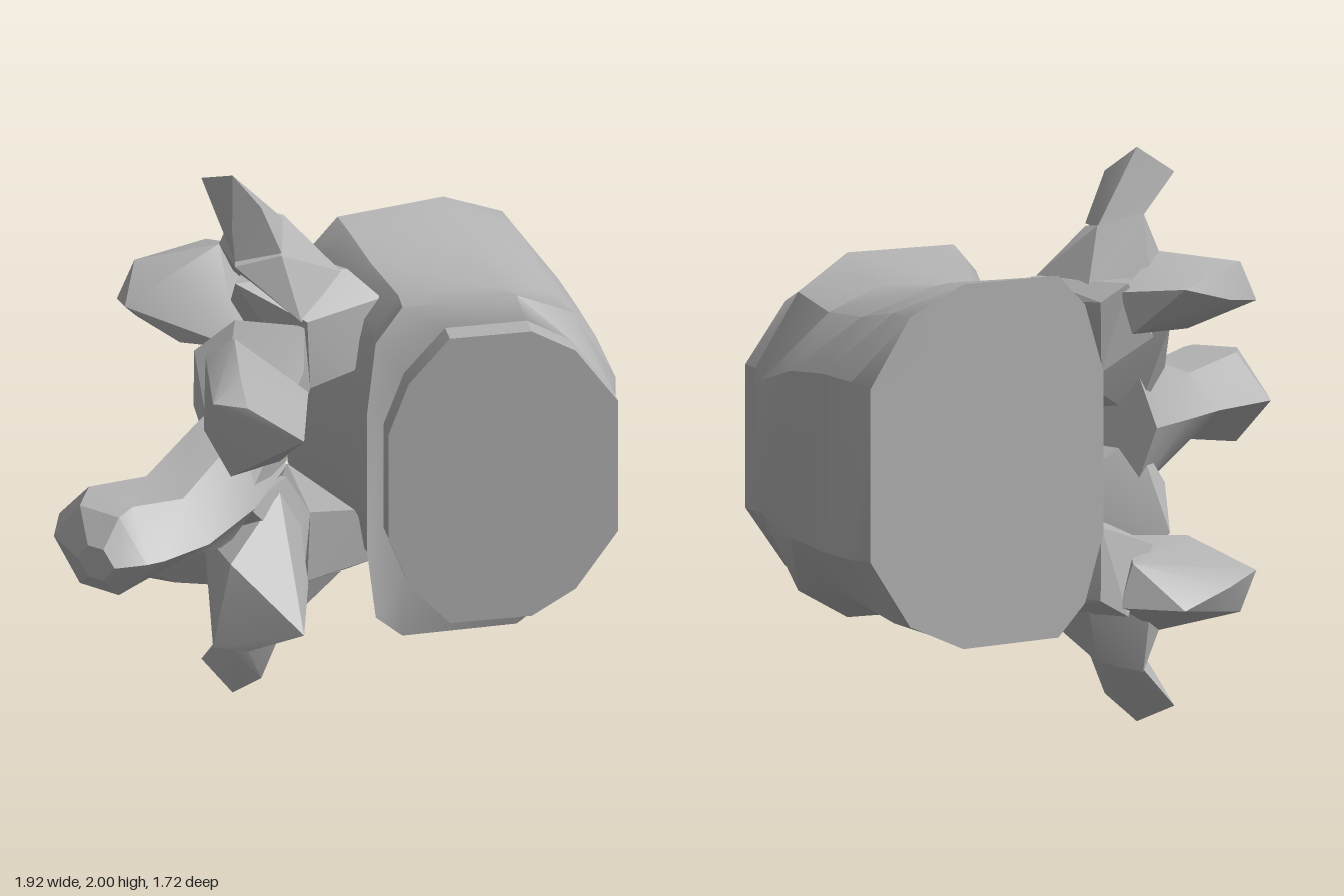
import * as THREE from 'three';
import { toCreasedNormals } from 'three/addons/utils/BufferGeometryUtils.js';
import { ConvexGeometry } from 'three/addons/geometries/ConvexGeometry.js';

const MID = 1; // height of the mirror plane

// Full ring from an upper half profile of [x, height above the mirror plane, z]
function ring(half) {
  const upper = half.map(([x, h, z]) => [x, MID + h, z]);
  const lower = half.filter((p) => p[1] > 0).reverse().map(([x, h, z]) => [x, MID - h, z]);
  return [...upper, ...lower];
}

// Closed loft through rings of equal length, capped with fans
function loft(rings, crease) {
  const n = rings[0].length;
  const centre = (r) => [0, 1, 2].map((k) => r.reduce((s, p) => s + p[k], 0) / n);
  const tris = [];
  const first = rings[0], last = rings[rings.length - 1];
  const c0 = centre(first), c1 = centre(last);
  for (let i = 0; i < n; i++) {
    const j = (i + 1) % n;
    tris.push([c0, first[j], first[i]], [c1, last[i], last[j]]);
    for (let r = 0; r < rings.length - 1; r++) {
      const a = rings[r], b = rings[r + 1];
      tris.push([a[i], a[j], b[j]], [a[i], b[j], b[i]]);
    }
  }
  // Signed volume tells whether the faces point outwards
  const volume = tris.reduce((s, [a, b, c]) => s
    + a[0] * (b[1] * c[2] - b[2] * c[1])
    + a[1] * (b[2] * c[0] - b[0] * c[2])
    + a[2] * (b[0] * c[1] - b[1] * c[0]), 0);
  if (volume < 0) tris.forEach((t) => t.reverse());
  const g = new THREE.BufferGeometry();
  g.setAttribute('position', new THREE.Float32BufferAttribute(tris.flat(2), 3));
  return toCreasedNormals(g, crease);
}

export function createModel() {
  const group = new THREE.Group();
  const bone = new THREE.MeshStandardMaterial({ color: 0xb2b2b2 });
  bone.name = 'bone grey';

  const add = (name, geometry) => {
    const mesh = new THREE.Mesh(geometry, bone);
    mesh.name = name;
    group.add(mesh);
  };

  // Convex bony piece, above and mirrored below the middle
  const addPair = (name, points) => {
    for (const side of [1, -1]) {
      const pts = points.map(([x, h, z]) => new THREE.Vector3(x, MID + side * h, z));
      add((side > 0 ? 'upper ' : 'lower ') + name, toCreasedNormals(new ConvexGeometry(pts), 0.45));
    }
  };

  // Disc outline, lying on a slanted plane
  const discOutline = [[0.17, 0.2], [0.24, 0.39], [0.38, 0.55], [0.66, 0.55], [0.81, 0.46], [0.955, 0.25]];
  const discRing = (dx, z0) => ring(discOutline.map(([x, h]) => [x + dx, h, z0 - 0.22 * x]));

  // Spool-shaped body, from back rim to front plate
  add('body', loft([
    ring([[-0.19, 0.28, -0.5], [-0.12, 0.52, -0.53], [-0.02, 0.63, -0.57],
      [0.34, 0.635, -0.72], [0.54, 0.54, -0.8], [0.69, 0.3, -0.855]]),
    ring([[-0.15, 0.27, -0.45], [-0.08, 0.5, -0.47], [0.02, 0.61, -0.5],
      [0.37, 0.625, -0.62], [0.58, 0.54, -0.7], [0.735, 0.31, -0.74]]),
    ring([[-0.04, 0.25, -0.3], [0.02, 0.45, -0.33], [0.1, 0.56, -0.36],
      [0.45, 0.575, -0.45], [0.66, 0.5, -0.53], [0.8, 0.31, -0.55]]),
    ring([[0.09, 0.24, -0.03], [0.12, 0.44, -0.07], [0.2, 0.54, -0.16],
      [0.53, 0.555, -0.2], [0.73, 0.48, -0.29], [0.875, 0.29, -0.35]]),
    ring([[0.1, 0.26, 0.2], [0.13, 0.53, 0.18], [0.22, 0.635, 0.11],
      [0.61, 0.635, 0.01], [0.8, 0.52, -0.09], [0.945, 0.23, -0.17]]),
    discRing(-0.015, 0.18),
  ], 0.6));

  // Thin disc on the front plate
  add('disc', loft([discRing(-0.015, 0.175), discRing(0.005, 0.26)], 0.5));

  // Pedicles join the body to the arch
  addPair('pedicle', [
    [0.05, 0.27, -0.12], [0.02, 0.58, -0.28], [0.14, 0.5, -0.22], [-0.18, 0.52, -0.5],
    [-0.19, 0.27, -0.46], [-0.1, 0.24, -0.04], [-0.11, 0.5, -0.03], [-0.36, 0.6, -0.12],
    [-0.4, 0.36, -0.3], [-0.28, 0.58, -0.48],
  ]);

  // Long horns ending in a slanted tip
  addPair('horn base', [
    [0, 0.58, -0.26], [-0.1, 0.65, -0.2], [-0.2, 0.76, -0.33], [-0.36, 0.8, -0.33],
    [-0.42, 0.66, -0.3], [-0.36, 0.68, -0.09], [-0.2, 0.72, -0.1], [-0.13, 0.5, -0.03],
    [-0.38, 0.5, -0.4], [-0.15, 0.55, -0.42],
  ]);
  addPair('horn tip', [
    [-0.37, 1, -0.155], [-0.48, 0.93, -0.27], [-0.37, 0.81, -0.1], [-0.27, 0.91, -0.09],
    [-0.2, 0.75, -0.32], [-0.36, 0.79, -0.33], [-0.2, 0.73, -0.1], [-0.36, 0.7, -0.09],
  ]);

  // Side wings pointing away from the body
  addPair('side wing', [
    [-0.77, 0.47, -0.25], [-0.71, 0.61, -0.27], [-0.7, 0.45, -0.16], [-0.74, 0.49, -0.15],
    [-0.57, 0.6, -0.2], [-0.65, 0.5, -0.41], [-0.47, 0.56, -0.53], [-0.42, 0.66, -0.3],
    [-0.55, 0.36, -0.14], [-0.35, 0.36, -0.1], [-0.3, 0.4, -0.46], [-0.25, 0.55, -0.48],
  ]);

  // Lamina plates reaching forward as facets
  addPair('lamina', [
    [-0.12, 0.36, 0.07], [-0.13, 0.22, 0.04], [-0.1, 0.24, -0.04], [-0.12, 0.48, -0.04],
    [-0.36, 0.48, -0.08], [-0.5, 0.36, -0.08], [-0.5, 0.2, 0.02], [-0.18, 0.03, 0.1],
    [-0.4, 0.03, 0.02], [-0.42, 0.1, 0.3], [-0.3, 0.02, 0.36],
  ]);
  addPair('facet', [
    [-0.105, 0.375, 0.62], [-0.3, 0.47, 0.56], [-0.42, 0.47, 0.53], [-0.36, 0.17, 0.49],
    [-0.1, 0.37, 0.24], [-0.13, 0.24, 0.06], [-0.33, 0.485, 0.36], [-0.36, 0.45, 0],
    [-0.46, 0.36, -0.04], [-0.46, 0.2, 0.2], [-0.2, 0.06, 0.16],
  ]);

  // Spine: ridged sections from [left x, z], [right x, z] and half height
  const spine = [
    [[-0.46, -0.05], [-0.18, 0.08], 0.24],
    [[-0.6, 0.11], [-0.28, 0.4], 0.19],
    [[-0.74, 0.28], [-0.43, 0.67], 0.115],
    [[-0.95, 0.45], [-0.58, 0.8], 0.155],
    [[-0.965, 0.62], [-0.64, 0.83], 0.15],
    [[-0.88, 0.78], [-0.75, 0.86], 0.06],
  ];
  add('spine', loft(spine.map(([l, r, h]) => {
    const at = (t, y) => [l[0] + (r[0] - l[0]) * t, y, l[1] + (r[1] - l[1]) * t];
    return ring([at(0, 0), at(0.28, h), at(0.7, h), at(1, 0)]);
  }), 0.5));

  return group;
}
